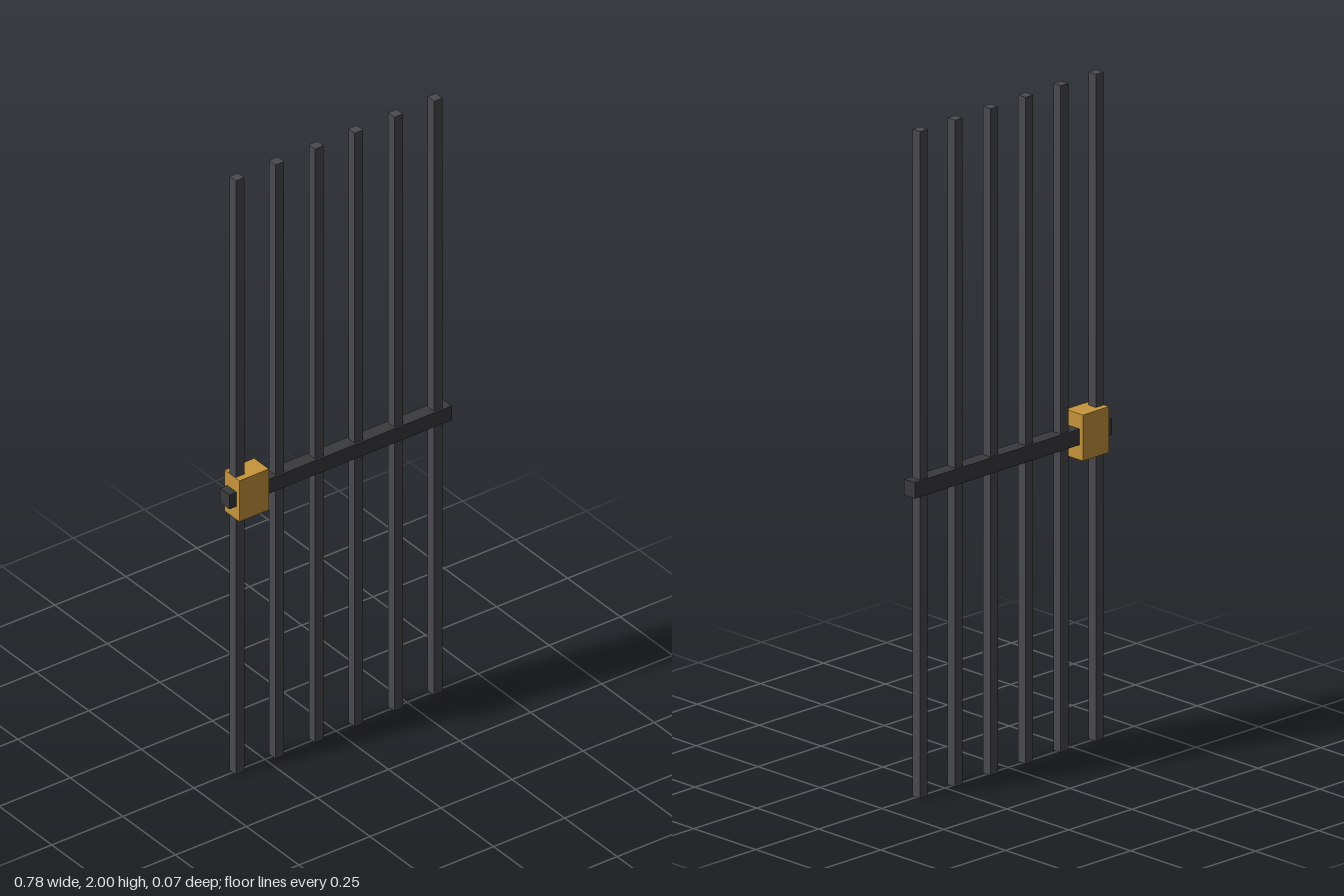
import * as THREE from 'three';

export function createModel() {
  const group = new THREE.Group();
  const iron = new THREE.MeshStandardMaterial({ color: 0x4a4a50 });
  const darkIron = new THREE.MeshStandardMaterial({ color: 0x3a3a3e });
  const brass = new THREE.MeshStandardMaterial({ color: 0xc8963c });

  const addBox = (name, size, position, material) => {
    const mesh = new THREE.Mesh(new THREE.BoxGeometry(...size), material);
    mesh.name = name;
    mesh.position.set(...position);
    group.add(mesh);
  };

  // Six evenly spaced upright bars
  const barCount = 6, spacing = 0.1395;
  for (let i = 0; i < barCount; i++) {
    const x = (i - (barCount - 1) / 2) * spacing;
    addBox(`bar${i + 1}`, [0.03, 2, 0.03], [x, 1, 0], iron);
  }

  // Cross rail and the lock box around its right end
  const railY = 0.932;
  addBox('crossRail', [0.782, 0.048, 0.044], [0, railY, 0], darkIron);
  addBox('lockBox', [0.104, 0.138, 0.07], [-0.314, railY, 0], brass);

  return group;
}
